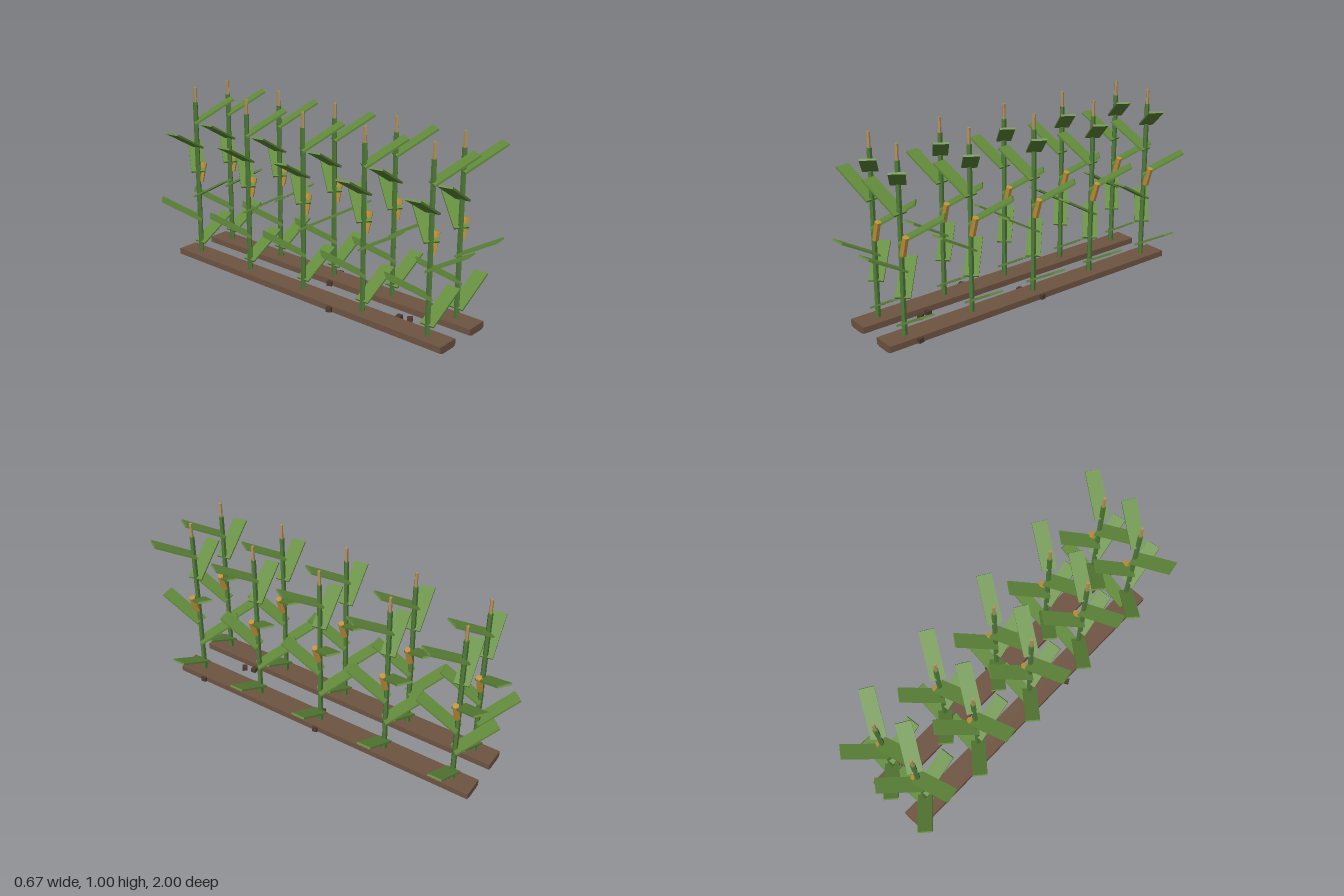
import * as THREE from 'three';

const mat = (name, color) => {
  const m = new THREE.MeshStandardMaterial({ color });
  m.name = name;
  m.flatShading = true;
  return m;
};

export function createModel() {
  const root = new THREE.Group();
  root.name = 'cropRows';

  const leafGreen = mat('leafGreen', 0x638c3c);
  const stalkGreen = mat('stalkGreen', 0x4f7a38);
  const soilBrown = mat('soilBrown', 0x6f5442);
  const clodBrown = mat('clodBrown', 0x4f3a2e);
  const cobGold = mat('cobGold', 0xc0923a);
  const tasselTan = mat('tasselTan', 0xb4925c);

  const add = (parent, name, geo, material, x = 0, y = 0, z = 0) => {
    const mesh = new THREE.Mesh(geo, material);
    mesh.name = name;
    mesh.position.set(x, y, z);
    parent.add(mesh);
    return mesh;
  };

  const midZ = -0.012;
  const rows = [-0.122, 0.123];

  // Soil ridge: flat top, with the underside chamfered inward
  const bedLength = 1.835;
  const profile = new THREE.Shape([
    [-0.061, 0.04], [-0.061, 0.007], [-0.038, 0], [0.038, 0], [0.061, 0.007], [0.061, 0.04],
  ].map(([x, y]) => new THREE.Vector2(x, y)));
  const bedGeo = new THREE.ExtrudeGeometry(profile, { depth: bedLength, bevelEnabled: false });
  bedGeo.translate(0, 0, -bedLength / 2);

  const stalkGeo = new THREE.CylinderGeometry(0.0135, 0.0145, 0.9, 5);
  const tasselGeo = new THREE.CylinderGeometry(0.009, 0.009, 0.08, 5);
  const cobGeo = new THREE.CylinderGeometry(0.017, 0.018, 0.105, 6);
  const leafGeo = new THREE.BoxGeometry(0.25, 0.01, 0.077);
  const goldenAngle = THREE.MathUtils.degToRad(137.5);

  // One plant: stalk, tassel, six leaves in a golden-angle spiral, one cob
  const makePlant = () => {
    const plant = new THREE.Group();
    plant.name = 'plant';
    add(plant, 'stalk', stalkGeo, stalkGreen, 0, 0.47, 0);
    add(plant, 'tassel', tasselGeo, tasselTan, 0, 0.96, 0);
    for (let i = 0; i < 6; i++) {
      const spoke = new THREE.Group();
      spoke.name = 'leafSpoke';
      spoke.rotation.y = i * goldenAngle;
      const leaf = add(spoke, 'leaf', leafGeo, leafGreen, 0.1, 0.158 + i * 0.1415, 0);
      leaf.rotation.z = Math.PI / 6;
      plant.add(spoke);
    }
    const cob = add(plant, 'cob', cobGeo, cobGold, 0.03, 0.51, 0);
    cob.rotation.z = -0.3;
    return plant;
  };

  for (const x of rows) {
    add(root, 'soilBed', bedGeo, soilBrown, x, 0, midZ);
    for (let i = -2; i <= 2; i++) {
      const plant = makePlant();
      plant.position.set(x, 0, midZ + i * 0.399);
      root.add(plant);
    }
  }

  // Loose clods beside the beds: x, z, turn
  const clodGeo = new THREE.BoxGeometry(0.028, 0.025, 0.028);
  const clods = [
    [-0.192, 0.225, 0.5], [-0.031, 0.55, 0.1], [-0.016, 0.605, 0.6],
    [0.052, 0.02, 0.4], [0.186, 0.74, 0.2], [0.186, -0.02, 0.2],
  ];
  for (const [x, z, turn] of clods) {
    add(root, 'clod', clodGeo, clodBrown, x, 0.024, z).rotation.y = turn;
  }

  return root;
}
